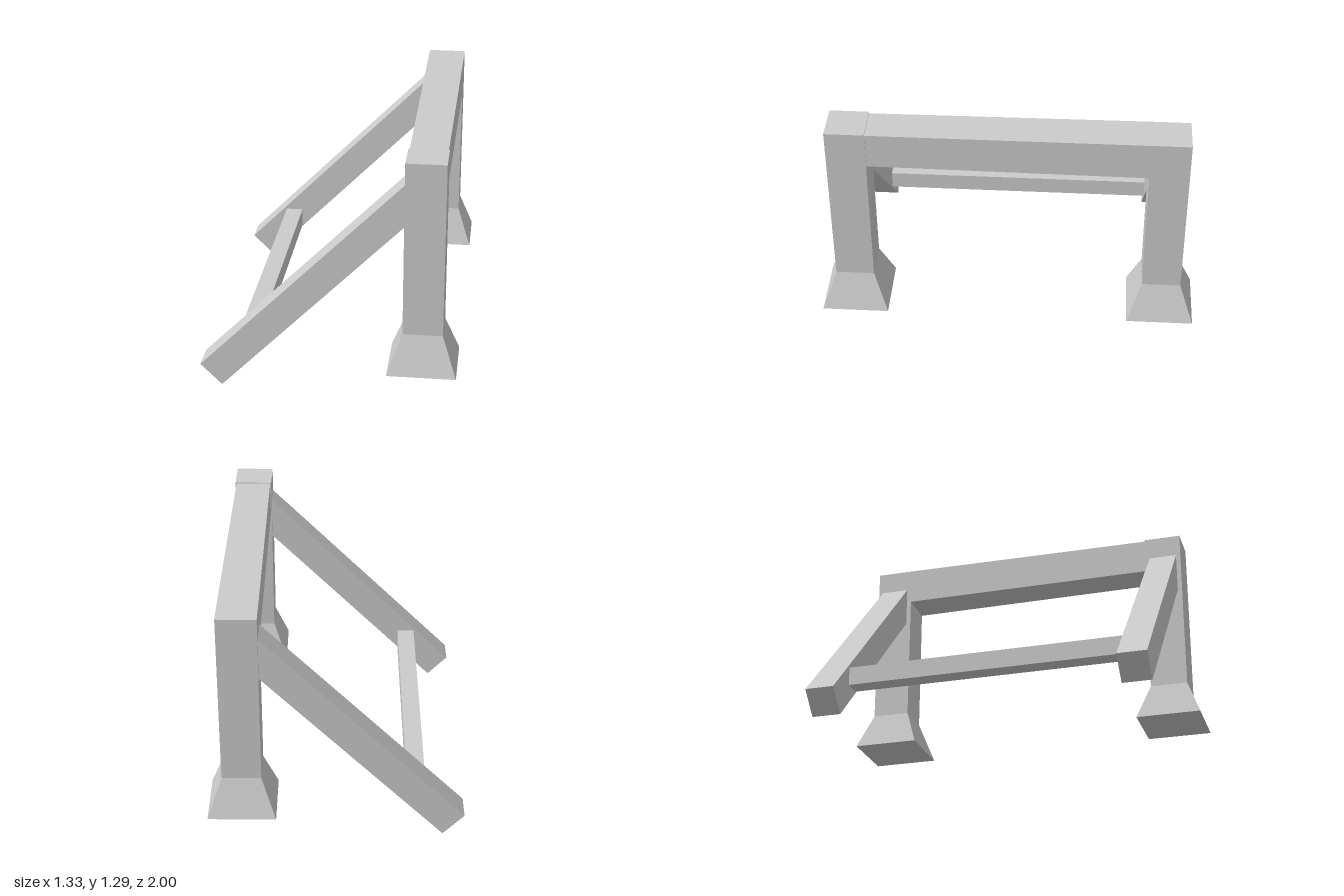
import * as THREE from 'three';

const material = new THREE.MeshStandardMaterial({ color: 0xcccccc, flatShading: true });
const POST_X = 0.4875, POST_Z = 0.8225, POST_W = 0.205;

function add(parent, name, geometry, x = 0, y = 0, z = 0) {
  const mesh = new THREE.Mesh(geometry, material);
  mesh.name = name;
  mesh.position.set(x, y, z);
  parent.add(mesh);
  return mesh;
}

// Square frustum with its base at y = 0
function frustum(bottom, top, height) {
  const g = new THREE.CylinderGeometry(top / Math.SQRT2, bottom / Math.SQRT2, height, 4);
  g.rotateY(Math.PI / 4);
  g.translate(0, height / 2, 0);
  return g;
}

// Diagonal brace: square lower end, upper end cut flush to the post
function braceGeometry(depth) {
  const shape = new THREE.Shape([
    new THREE.Vector2(-0.556, 0),
    new THREE.Vector2(0.385, 0.943),
    new THREE.Vector2(0.385, 1.167),
    new THREE.Vector2(-0.668, 0.113),
  ]);
  const g = new THREE.ExtrudeGeometry(shape, { depth, bevelEnabled: false });
  g.translate(0, 0, -depth / 2);
  return g;
}

export function createModel() {
  const model = new THREE.Group();
  model.name = 'braceFrame';

  for (const side of [1, -1]) {
    const leg = new THREE.Group();
    leg.name = side > 0 ? 'frontLeg' : 'backLeg';
    const z = side * POST_Z;
    add(leg, 'post', new THREE.BoxGeometry(POST_W, 0.925, POST_W), POST_X, 0.8275, z);
    add(leg, 'flaredFoot', frustum(0.354, POST_W, 0.205), POST_X, 0.16, z);
    add(leg, 'brace', braceGeometry(0.155), 0, 0, z);
    model.add(leg);
  }

  // Top beam, very slightly slimmer towards the front post
  const beam = new THREE.BoxGeometry(POST_W, POST_W, 1.44);
  const p = beam.attributes.position;
  for (let i = 0; i < p.count; i++) {
    const s = p.getZ(i) > 0 ? 0.945 : 1;
    p.setXY(i, p.getX(i) * s, p.getY(i) * s);
  }
  beam.computeVertexNormals();
  add(model, 'topBeam', beam, POST_X, 1.1875, 0);

  // Rail joining the two braces
  add(model, 'crossRail', new THREE.BoxGeometry(0.097, 0.1, 1.49), -0.4125, 0.252, 0);

  return model;
}
